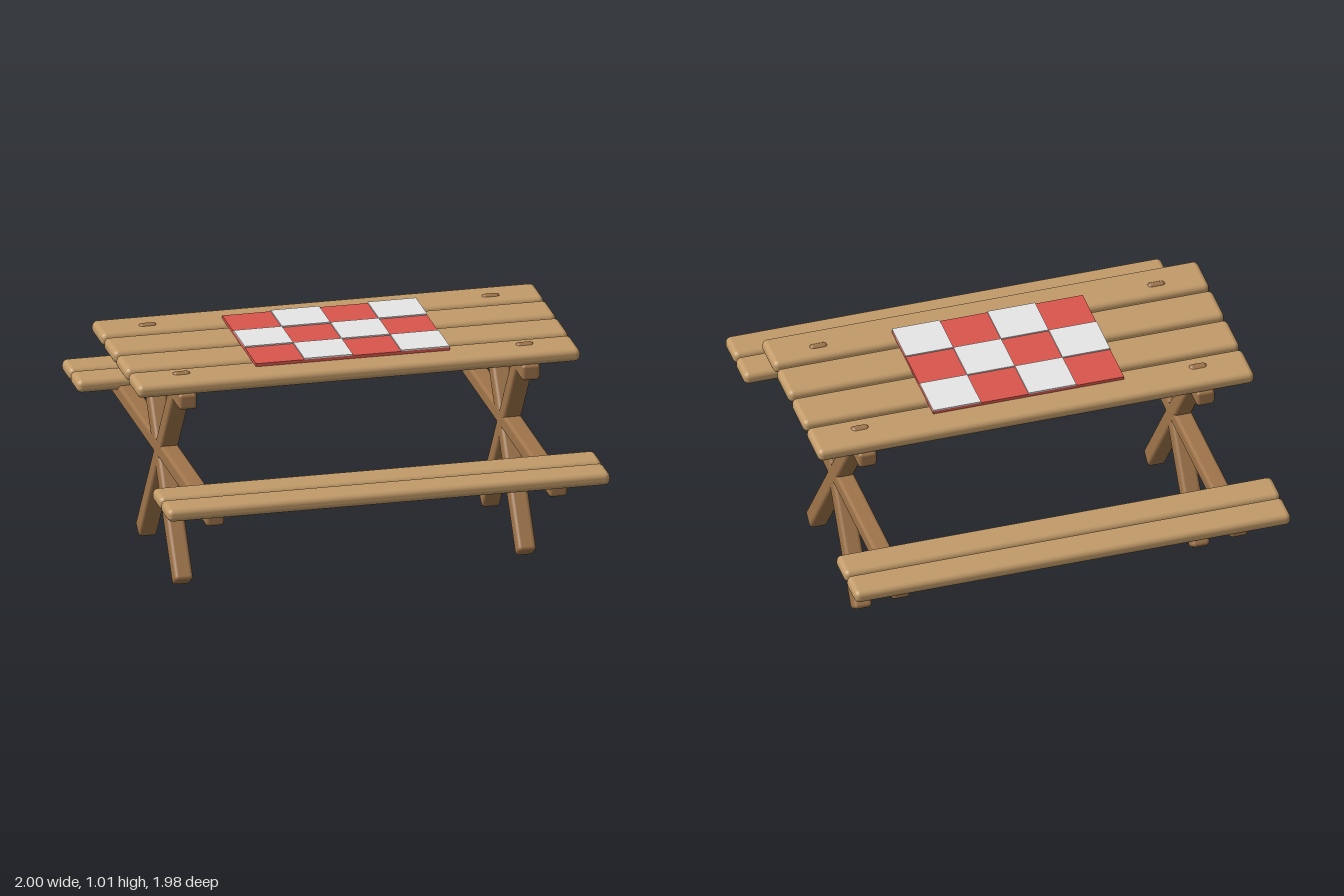
import * as THREE from 'three';
import { RoundedBoxGeometry } from 'three/addons/geometries/RoundedBoxGeometry.js';

const material = (name, color) => {
  const m = new THREE.MeshStandardMaterial({ color });
  m.name = name;
  return m;
};

export function createModel() {
  const model = new THREE.Group();
  model.name = 'picnicTable';

  const plankWood = material('plank wood', 0xc19a68);
  const frameWood = material('frame wood', 0x9e744a);
  const clothRed = material('cloth red', 0xd9564c);
  const clothWhite = material('cloth white', 0xe6e6e6);

  // Rounded timber centred on (x, y, z)
  const timber = (name, mat, [w, h, d], radius, [x, y, z], parent = model) => {
    const mesh = new THREE.Mesh(new RoundedBoxGeometry(w, h, d, 4, radius), mat);
    mesh.name = name;
    mesh.position.set(x, y, z);
    parent.add(mesh);
    return mesh;
  };

  // Four table top planks
  for (const z of [-0.338, -0.113, 0.113, 0.338]) {
    timber('tablePlank', plankWood, [2, 0.06, 0.198], 0.025, [0, 0.96, z]);
  }

  // Two planks for each bench
  for (const side of [-1, 1]) {
    for (const z of [0.757, 0.916]) {
      timber('benchPlank', plankWood, [2, 0.06, 0.148], 0.025, [0, 0.58, side * z]);
    }
  }

  // Trestle at each end: crossed legs, bench beam and top beam
  for (const side of [-1, 1]) {
    const trestle = new THREE.Group();
    trestle.name = side > 0 ? 'leftTrestle' : 'rightTrestle';
    trestle.position.x = side * 0.775;
    for (const lean of [-1, 1]) {
      const leg = timber('leg', frameWood, [0.083, 1.18, 0.083], 0.018, [0, 0.502, 0], trestle);
      leg.rotation.x = lean * 0.62;
    }
    timber('benchBeam', frameWood, [0.083, 0.075, 1.88], 0.016, [0, 0.536, 0], trestle);
    timber('topBeam', frameWood, [0.083, 0.075, 0.88], 0.016, [0, 0.9, 0], trestle);
    model.add(trestle);
  }

  // Checked cloth: red sheet with white squares laid on it
  const cols = 4, rows = 3, width = 0.875, depth = 0.625;
  const cloth = new THREE.Group();
  cloth.name = 'cloth';
  cloth.position.y = 0.988;
  const sheet = new THREE.Mesh(new THREE.BoxGeometry(width, 0.016, depth), clothRed);
  sheet.name = 'clothSheet';
  sheet.position.y = 0.008;
  cloth.add(sheet);
  const cw = width / cols, cd = depth / rows;
  const square = new THREE.BoxGeometry(cw, 0.006, cd);
  for (let r = 0; r < rows; r++) {
    for (let c = 0; c < cols; c++) {
      if ((r + c) % 2 === 0) continue;
      const tile = new THREE.Mesh(square, clothWhite);
      tile.name = 'whiteSquare';
      tile.position.set((c + 0.5) * cw - width / 2, 0.019, (r + 0.5) * cd - depth / 2);
      cloth.add(tile);
    }
  }
  model.add(cloth);

  return model;
}
